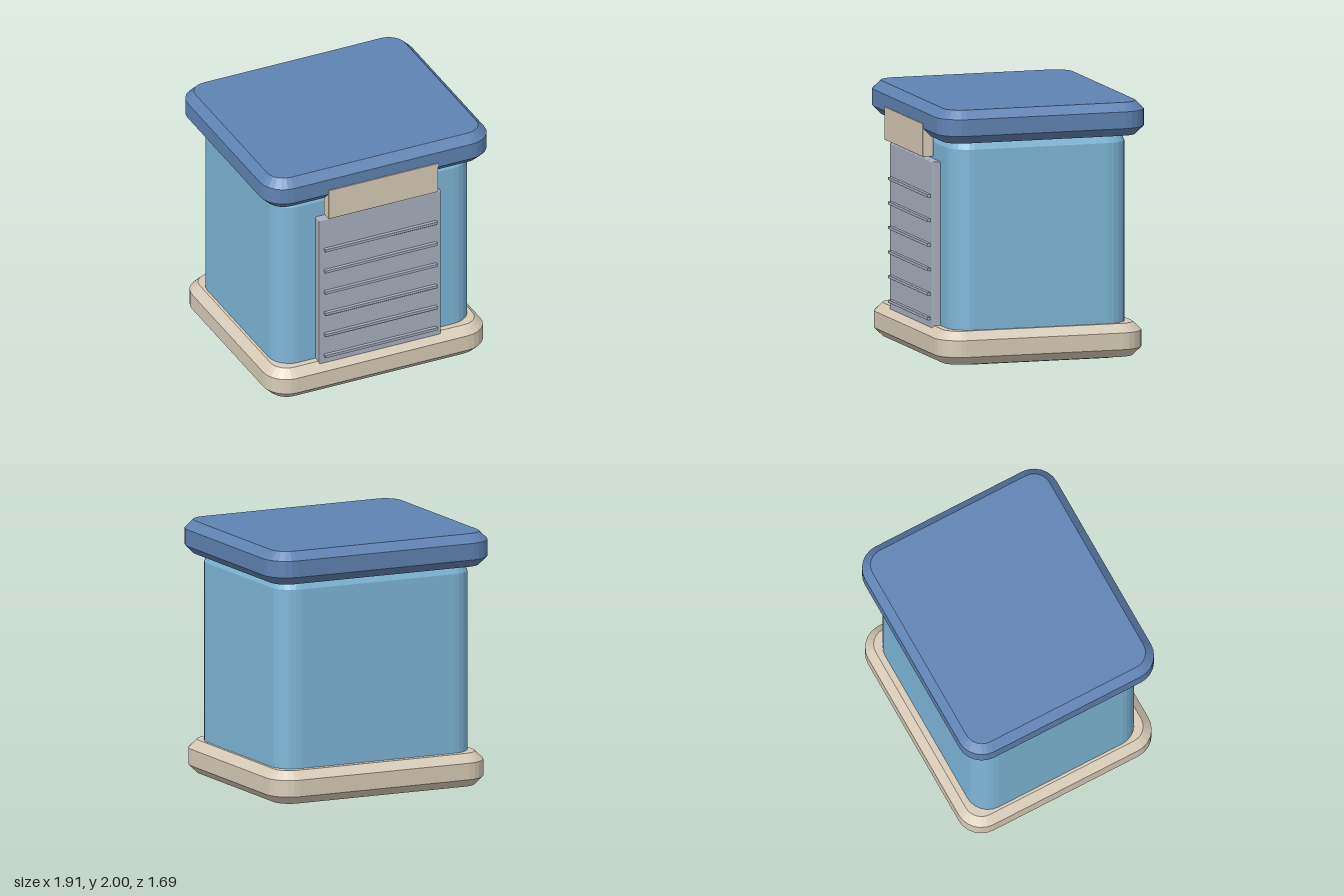
import * as THREE from 'three';
import { RoundedBoxGeometry } from 'three/addons/geometries/RoundedBoxGeometry.js';

function material(name, color) {
  const m = new THREE.MeshStandardMaterial({ color });
  m.name = name;
  return m;
}

// Horizontal slab with rounded corners in plan and chamfered top and bottom rims.
function slabGeometry(halfX, halfZ, y0, y1, radius, inset, chamfer) {
  const x = halfX - inset, z = halfZ - inset, r = radius - inset;
  const shape = new THREE.Shape();
  shape.absarc(x - r, z - r, r, 0, Math.PI / 2);
  shape.absarc(-x + r, z - r, r, Math.PI / 2, Math.PI);
  shape.absarc(-x + r, -z + r, r, Math.PI, Math.PI * 1.5);
  shape.absarc(x - r, -z + r, r, Math.PI * 1.5, Math.PI * 2);
  shape.closePath();
  const geometry = new THREE.ExtrudeGeometry(shape, {
    depth: y1 - y0 - 2 * chamfer,
    curveSegments: 3,
    bevelEnabled: true,
    bevelSegments: 1,
    bevelSize: inset,
    bevelThickness: chamfer,
  });
  geometry.rotateX(-Math.PI / 2);
  geometry.translate(0, y0 + chamfer, 0);
  return geometry;
}

// Box given by its half width and its y and z ranges, with slightly eased edges.
function panelGeometry(halfX, y0, y1, z0, z1, radius) {
  const geometry = new RoundedBoxGeometry(halfX * 2, y1 - y0, z1 - z0, 1, radius);
  geometry.translate(0, (y0 + y1) / 2, (z0 + z1) / 2);
  return geometry;
}

export function createModel() {
  const group = new THREE.Group();
  group.name = 'kiosk';

  const wallBlue = material('wallBlue', 0x7fb7d9);
  const roofBlue = material('roofBlue', 0x5f83b3);
  const cream = material('cream', 0xd8ccb8);
  const shutterGrey = material('shutterGrey', 0xaab1c0);

  const add = (name, geometry, mat, parent = group) => {
    const mesh = new THREE.Mesh(geometry, mat);
    mesh.name = name;
    parent.add(mesh);
    return mesh;
  };

  // Main volumes
  add('body', slabGeometry(0.84, 0.718, 0, 1.8, 0.18, 0.055, 0.12), wallBlue);
  add('base', slabGeometry(0.927, 0.832, 0.015, 0.275, 0.2, 0.065, 0.065), cream);
  const roof = add('roof', slabGeometry(0.957, 0.84, 1.74, 2, 0.2, 0.065, 0.065), roofBlue);
  roof.position.z = -0.003;

  // Roller shutter with horizontal ribs
  const shutter = new THREE.Group();
  shutter.name = 'shutter';
  group.add(shutter);
  add('shutterPanel', panelGeometry(0.52, 0.25, 1.55, 0.69, 0.784, 0.008), shutterGrey, shutter);
  for (let i = 0; i < 6; i++) {
    const y = 0.325 + i * 0.191;
    add('shutterRib', panelGeometry(0.48, y - 0.0125, y + 0.0125, 0.77, 0.811, 0.004), shutterGrey, shutter);
  }

  // Blank sign board under the eave
  add('signBoard', panelGeometry(0.468, 1.585, 1.842, 0.756, 0.844, 0.004), cream);

  return group;
}
